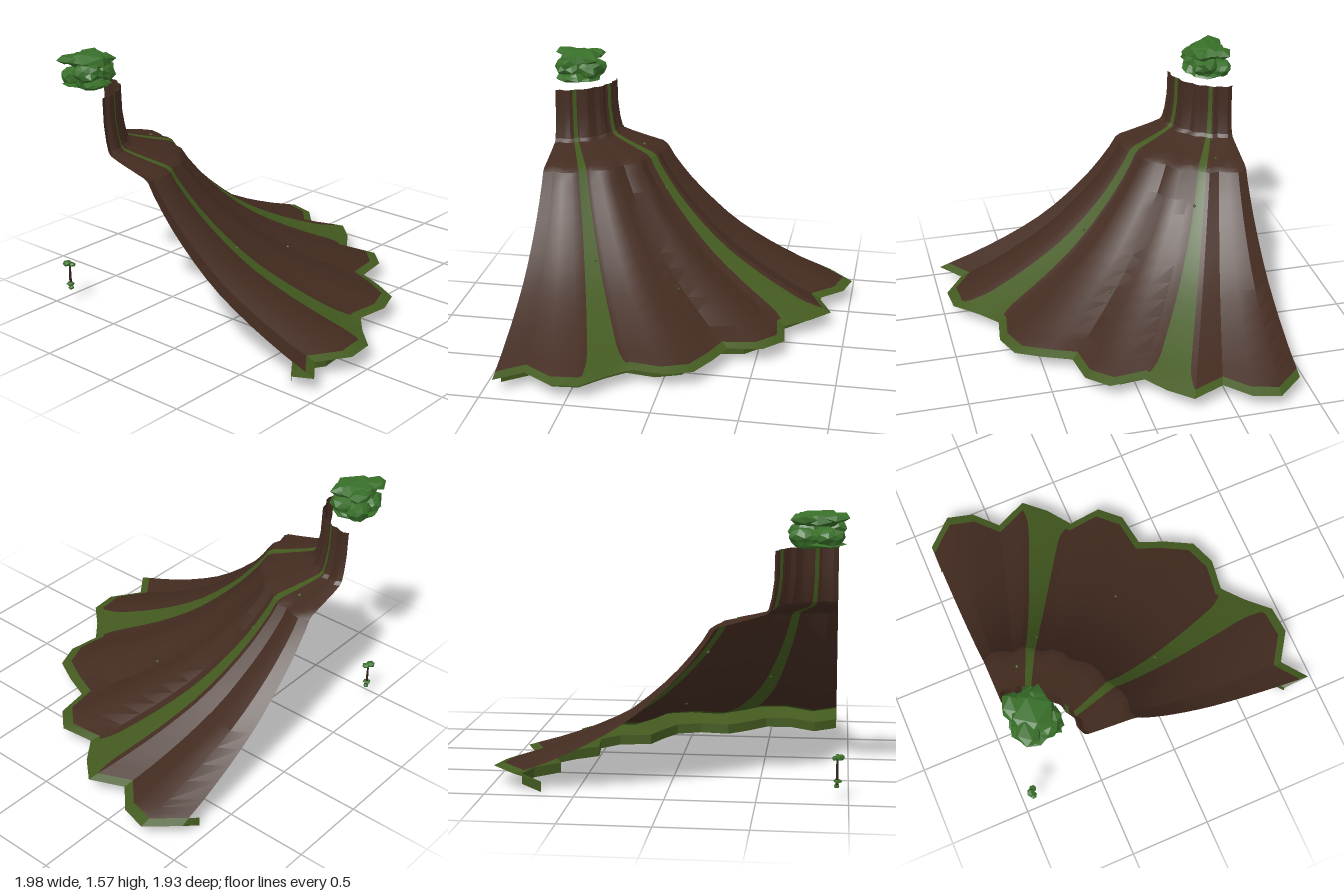
import * as THREE from 'three';
import { toCreasedNormals, mergeGeometries } from 'three/addons/utils/BufferGeometryUtils.js';

// Vertical axis of the quarter stump
const AX = -0.925, AZ = -0.925;
// Rim radius every 5 degrees, from +x round to +z
const RIM = [1.77, 1.932, 1.91, 1.8, 1.946, 1.886, 1.806, 1.937, 1.92, 1.79,
  1.866, 1.942, 1.908, 1.794, 1.845, 1.938, 1.917, 1.777, 1.888];
const MAX_R = 1.93;
// Bark profile [radius, height] from the top down
const PROFILE = [[0.338, 1.355], [0.341, 1.2], [0.355, 1.1], [0.371, 1.04], [0.39, 1.02],
  [0.45, 1.0], [0.58, 0.965], [0.66, 0.945], [0.69, 0.925], [0.73, 0.86], [0.8, 0.77],
  [0.865, 0.695], [0.94, 0.62], [1.03, 0.54], [1.125, 0.465], [1.23, 0.395],
  [1.34, 0.335], [1.46, 0.277], [1.58, 0.226], [1.72, 0.172], [1.78, 0.152],
  [1.83, 0.135], [1.868, 0.122]];
const EDGE = [[1.868, 0.122], [MAX_R, 0.1]];
const UNDERSIDE = [[MAX_R, 0.1], [1.765, 0.06]];
const WALL = [[1.765, 0.06], [1.765, 0]];

// Point on the fluted surface: flat facets between the 5 degree ribs,
// with the flutes deepening towards the rim
function surfacePoint(deg, r, y) {
  const i = Math.min(17, Math.floor(deg / 5));
  const f = deg / 5 - i;
  const depth = THREE.MathUtils.lerp(0.5, 1, THREE.MathUtils.clamp((r - 1) / 0.75, 0, 1));
  const rib = k => {
    const a = THREE.MathUtils.degToRad(k * 5);
    const q = r * (1 + depth * (RIM[k] / MAX_R - 1));
    return new THREE.Vector3(AX + q * Math.cos(a), y, AZ + q * Math.sin(a));
  };
  return rib(i).lerp(rib(i + 1), f);
}

// Band of surface between two edge angles, each a function of radius
function band(rows, from, to) {
  const inner = [];
  for (let d = 5; d < 90; d += 5) if (d > from(1) && d < to(1)) inner.push(d);
  const pos = [], idx = [], n = inner.length + 2;
  rows.forEach(([r, y], i) => {
    [from(r), ...inner, to(r)].forEach((deg, j) => {
      pos.push(...surfacePoint(deg, r, y).toArray());
      if (i && j) {
        const d = i * n + j, c = d - 1, b = d - n, a = b - 1;
        idx.push(a, d, c, a, b, d);
      }
    });
  });
  const g = new THREE.BufferGeometry();
  g.setAttribute('position', new THREE.Float32BufferAttribute(pos, 3));
  g.setIndex(idx);
  return toCreasedNormals(g, 0.4);
}

// Faceted leaf clump with a repeatable jitter
function clump([x, y, z, sx, sy, sz], seed, detail = 1, rough = 0.4) {
  const g = new THREE.IcosahedronGeometry(1, detail);
  const p = g.attributes.position, v = new THREE.Vector3();
  for (let i = 0; i < p.count; i++) {
    v.fromBufferAttribute(p, i);
    const key = Math.round(v.x * 50) * 12.99 + Math.round(v.y * 50) * 78.23 + Math.round(v.z * 50) * 37.72;
    const h = Math.sin(key + seed * 4.1) * 43758.5453;
    v.multiplyScalar(1 + rough * (h - Math.floor(h) - 0.5));
    p.setXYZ(i, x + v.x * sx, y + v.y * sy, z + v.z * sz);
  }
  g.computeVertexNormals();
  return g;
}

export function createModel() {
  const model = new THREE.Group();
  model.name = 'treeStump';
  const material = (name, color, side = THREE.FrontSide) => {
    const m = new THREE.MeshStandardMaterial({ color, side });
    m.name = name;
    return m;
  };
  const bark = material('bark', 0x432b20, THREE.DoubleSide);
  const moss = material('moss', 0x435a1f, THREE.DoubleSide);
  const leaf = material('leaf', 0x386f29);
  const wood = material('wood', 0x33231a);
  const add = (name, geometry, mat, parent = model) => {
    const mesh = new THREE.Mesh(geometry, mat);
    mesh.name = name;
    parent.add(mesh);
  };

  // Bark split by two moss streaks that widen and flare into the rim
  const widen = (top, bottom) => r => {
    const spread = THREE.MathUtils.clamp((r - 0.9) / 0.955, 0, 1);
    const flare = THREE.MathUtils.clamp((r - 1.72) / 0.148, 0, 1) ** 2;
    return top + (bottom - top) * spread + Math.sign(bottom - top) * flare;
  };
  const cuts = [() => 0, widen(21.8, 21.2), widen(26.4, 28.2),
    widen(66.8, 66.7), widen(71.3, 73.3), () => 90];
  for (let i = 0; i < 5; i++) {
    const streak = i % 2 === 1;
    add(streak ? 'mossStreak' : 'barkPanel', band(PROFILE, cuts[i], cuts[i + 1]), streak ? moss : bark);
  }

  // Mossy rim, its underside and the base wall
  const start = cuts[0], end = cuts[5];
  add('mossRim', band(EDGE, start, end), moss);
  add('rimUnderside', band(UNDERSIDE, start, end), moss);
  add('baseWall', band(WALL, start, end), moss);

  // Leafy crown above the stump: a flat ragged cap over coarse lumps
  const cap = [
    [-0.81, 1.525, -0.81, 0.145, 0.05, 0.14],
    [-0.91, 1.535, -0.87, 0.09, 0.028, 0.075],
    [-0.74, 1.525, -0.89, 0.085, 0.035, 0.065],
    [-0.76, 1.52, -0.77, 0.085, 0.04, 0.08],
  ];
  const lumps = [
    [-0.88, 1.465, -0.75, 0.085, 0.06, 0.085],
    [-0.75, 1.45, -0.79, 0.09, 0.06, 0.09],
    [-0.87, 1.43, -0.87, 0.085, 0.055, 0.08],
    [-0.745, 1.43, -0.89, 0.085, 0.055, 0.065],
    [-0.85, 1.4, -0.75, 0.095, 0.035, 0.08],
    [-0.81, 1.39, -0.83, 0.135, 0.024, 0.12],
  ];
  add('crownCap', mergeGeometries(cap.map((c, i) => clump(c, i + 1, 0, 0.25))), leaf);
  add('crownLumps', mergeGeometries(lumps.map((c, i) => clump(c, i + 7))), leaf);

  // Small tree standing apart at the back corner
  const tree = new THREE.Group();
  tree.name = 'smallTree';
  model.add(tree);
  const trunk = new THREE.CylinderGeometry(0.006, 0.009, 0.16, 6);
  trunk.translate(-0.936, 0.165, -0.936);
  add('smallTrunk', trunk, wood, tree);
  const leaves = [
    [-0.95, 0.25, -0.943, 0.031, 0.019, 0.03],
    [-0.928, 0.24, -0.925, 0.024, 0.015, 0.024],
    [-0.94, 0.115, -0.932, 0.025, 0.013, 0.024],
    [-0.934, 0.088, -0.934, 0.017, 0.014, 0.017],
  ];
  add('smallLeaves', mergeGeometries(leaves.map((c, i) => clump(c, i + 20, 0, 0.25))), leaf, tree);

  // Tiny tufts growing on the bark
  const tufts = [[17, 0.575, 0.966], [26, 0.82, 0.745], [68, 1.1, 0.485], [46, 1.38, 0.315]];
  add('mossTufts', mergeGeometries(tufts.map(([deg, r, y], i) => {
    const p = surfacePoint(deg, r, y);
    return clump([p.x, p.y, p.z, 0.011, 0.011, 0.011], i + 40, 0);
  })), moss);

  return model;
}
